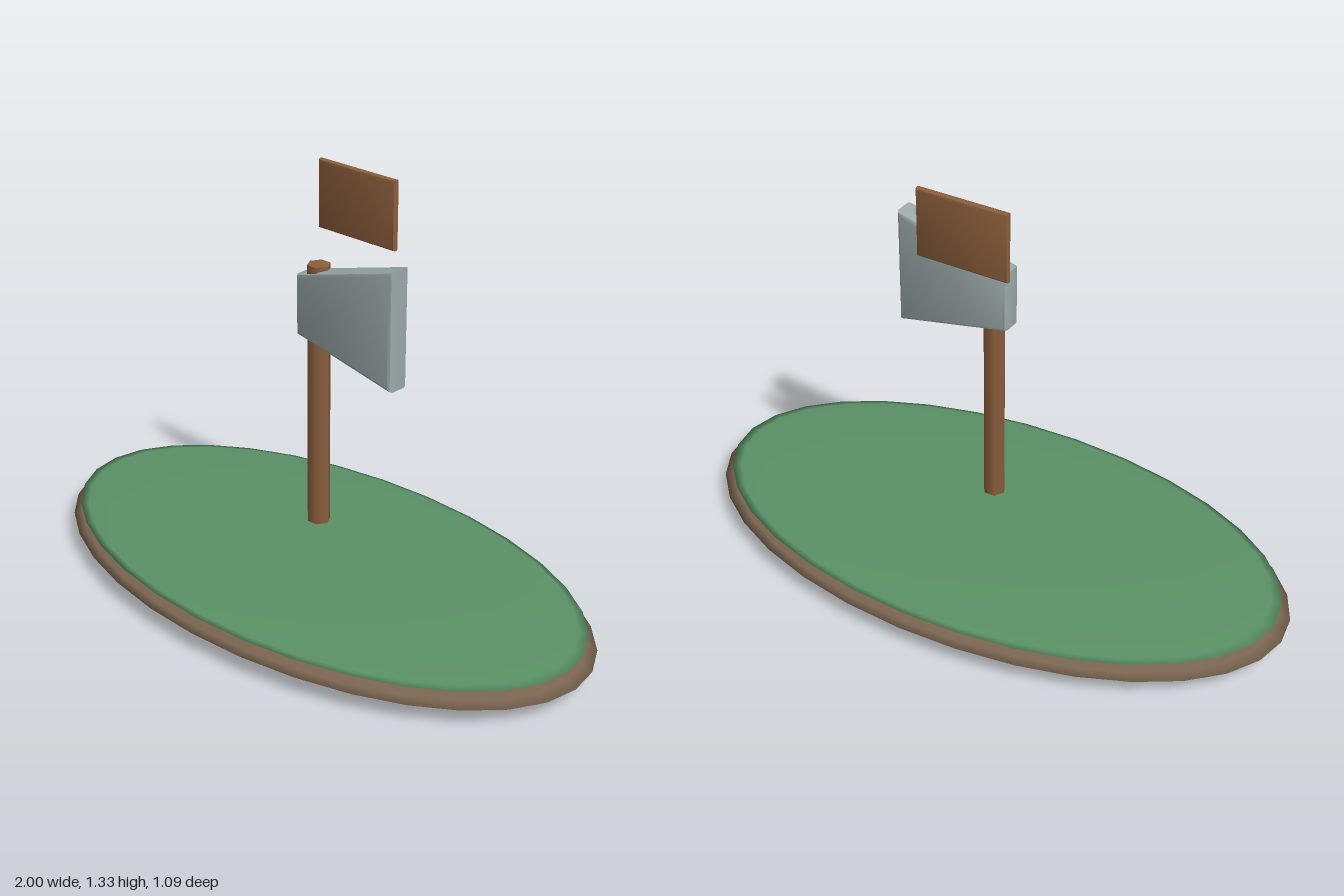
import * as THREE from 'three';
import { toCreasedNormals } from 'three/addons/utils/BufferGeometryUtils.js';

function part(name, geometry, color) {
  const mesh = new THREE.Mesh(geometry, new THREE.MeshStandardMaterial({ color }));
  mesh.name = name;
  return mesh;
}

// Flattened ellipsoid disc
function disc(rx, ry, rz, y) {
  return new THREE.SphereGeometry(1, 32, 12).scale(rx, ry, rz).translate(0, y, 0);
}

// Plate of the given final outline and depth, with bevelled front and back edges
function bevelledPlate(points, depth, bevel) {
  const shape = new THREE.Shape(points.map(([x, y]) => new THREE.Vector2(x, y)));
  const geometry = new THREE.ExtrudeGeometry(shape, {
    depth: depth - 2 * bevel,
    bevelThickness: bevel,
    bevelSize: bevel,
    bevelOffset: -bevel,
    bevelSegments: 2,
  });
  geometry.translate(0, 0, bevel - depth / 2);
  return toCreasedNormals(geometry, 0.6);
}

export function createModel() {
  const group = new THREE.Group();

  // Oval ground: earth below, grass on top
  group.add(part('earth', disc(1, 0.058, 0.545, 0.06), 0x7a6550));
  group.add(part('grass', disc(0.97, 0.018, 0.525, 0.105), 0x5a9166));

  // Six-sided upright handle
  const handle = new THREE.CylinderGeometry(0.036, 0.036, 0.85, 6).rotateY(Math.PI / 6);
  handle.translate(0, 0.655, 0);
  group.add(part('handle', handle, 0x8b5e3c));

  // Flaring axe head
  const head = [[-0.06, 0.85], [0.316, 0.773], [0.316, 1.147], [-0.06, 1.042]];
  group.add(part('axeHead', bevelledPlate(head, 0.075, 0.012), 0x9aa8a9));

  // Floating sign board behind the axe
  const board = [[-0.152, 1.113], [0.152, 1.113], [0.152, 1.331], [-0.152, 1.331]];
  const sign = part('signBoard', bevelledPlate(board, 0.025, 0.009), 0x8b5e3c);
  sign.position.z = -0.167;
  group.add(sign);

  return group;
}
